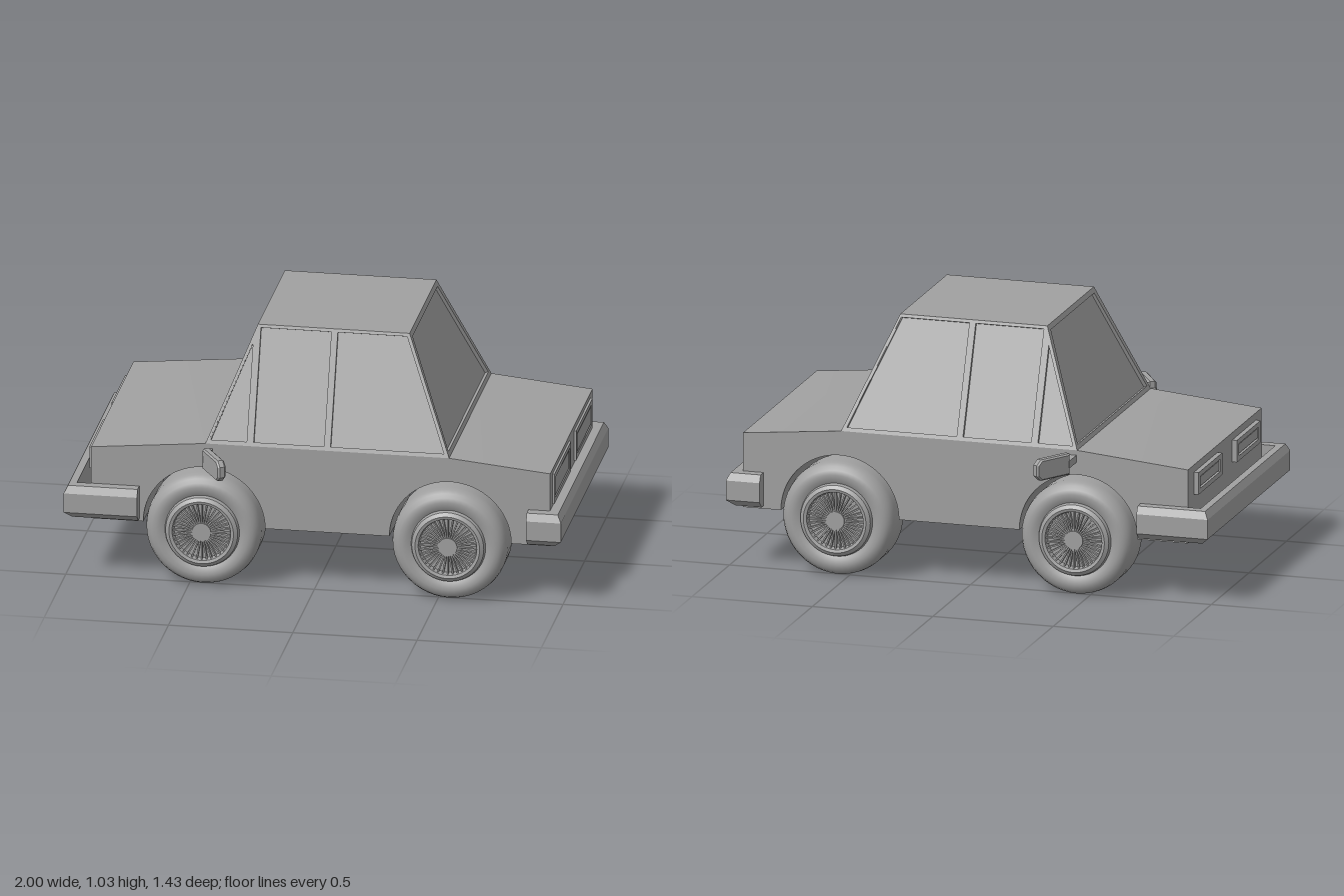
import * as THREE from 'three';
import { toCreasedNormals } from 'three/addons/utils/BufferGeometryUtils.js';

const paint = new THREE.MeshStandardMaterial({ color: 0xa0a0a0, side: THREE.DoubleSide });
paint.name = 'grey';

function add(parent, name, geometry, x = 0, y = 0, z = 0) {
  const mesh = new THREE.Mesh(geometry, paint);
  mesh.name = name;
  mesh.position.set(x, y, z);
  parent.add(mesh);
  return mesh;
}
const toPoints = (list) => list.map(([x, y]) => new THREE.Vector2(x, y));
const extrude = (shape, depth, options = {}) =>
  new THREE.ExtrudeGeometry(shape, { depth, bevelEnabled: false, curveSegments: 32, ...options });

const AXLES = [-0.445, 0.545];
const AXLE_Y = 0.232;
const BELT = 0.585, ROOF = 1.035;

// Lower body: side profile with wheel tunnels through the full width
function addBody(car) {
  const s = new THREE.Shape();
  s.moveTo(-0.9, 0.24);
  for (const x of AXLES) {
    s.lineTo(x - 0.245, 0.24);
    s.absarc(x, 0.24, 0.245, Math.PI, 0, true);
  }
  s.lineTo(0.947, 0.24);
  s.lineTo(0.947, 0.545);
  s.lineTo(0.54, BELT);
  s.lineTo(-0.44, BELT);
  s.lineTo(-0.9, 0.542);
  s.closePath();
  add(car, 'body', toCreasedNormals(extrude(s, 0.98), 0.5), 0, 0, -0.49);
}

// Sloped cabin wall with window openings, drawn as seen straight on
function addWall(car, name, outline, windows, slope, yaw, distance, flip = 1) {
  const k = Math.hypot(1, slope);
  const fit = (list) => toPoints(list.map(([a, y]) => [a * flip, (y - BELT) * k]));
  const shape = new THREE.Shape(fit(outline));
  for (const w of windows) shape.holes.push(new THREE.Path(fit(w)));
  const geometry = extrude(shape, 0.014);
  geometry.translate(0, 0, -0.014);
  const holder = new THREE.Group();
  holder.name = name;
  holder.rotation.y = yaw;
  add(holder, name + 'Frame', geometry, 0, BELT, distance).rotation.x = -Math.atan(slope);
  car.add(holder);
}

function addCabin(car) {
  // Glass core, slightly inside the frames
  const core = new THREE.BoxGeometry(1, 1, 1);
  const p = core.attributes.position;
  for (let i = 0; i < p.count; i++) {
    const top = p.getY(i) > 0, front = p.getX(i) < 0;
    const x = top ? (front ? -0.248 : 0.338) : (front ? -0.428 : 0.528);
    p.setXYZ(i, x, top ? ROOF - 0.003 : BELT - 0.01, Math.sign(p.getZ(i)) * (top ? 0.298 : 0.478));
  }
  add(car, 'windowGlass', core.toNonIndexed()).geometry.computeVertexNormals();
  add(car, 'roof', new THREE.BoxGeometry(0.61, 0.008, 0.62), 0.045, ROOF - 0.004, 0);

  const side = [[-0.44, BELT], [0.54, BELT], [0.35, ROOF], [-0.26, ROOF]];
  const sideWindows = [
    [[-0.425, 0.6], [-0.275, 0.6], [-0.275, 0.965]],
    [[-0.247, 0.6], [0.036, 0.6], [0.036, 1.023], [-0.247, 1.023]],
    [[0.062, 0.6], [0.518, 0.6], [0.345, 1.023], [0.062, 1.023]],
  ];
  addWall(car, 'leftSideWindows', side, sideWindows, 0.4, 0, 0.49);
  addWall(car, 'rightSideWindows', side, sideWindows, 0.4, Math.PI, 0.49, -1);

  const end = [[-0.49, BELT], [0.49, BELT], [0.31, ROOF], [-0.31, ROOF]];
  const endWindow = [[[-0.46, 0.602], [0.46, 0.602], [0.288, 1.015], [-0.288, 1.015]]];
  addWall(car, 'rearWindow', end, endWindow, 0.422, Math.PI / 2, 0.54);
  addWall(car, 'windscreen', end, endWindow, 0.4, -Math.PI / 2, 0.44);
}

// U-shaped bumper with a chamfered outer face; dir is the end it sits at
function addBumper(car, name, dir, inner, armEnd) {
  const u = new THREE.Shape(toPoints([
    [dir * armEnd, -0.55], [dir, -0.55], [dir, 0.55], [dir * armEnd, 0.55],
    [dir * armEnd, 0.495], [dir * inner, 0.495], [dir * inner, -0.495], [dir * armEnd, -0.495],
  ]));
  const g = extrude(u, 3, { steps: 3 });
  g.rotateX(Math.PI / 2);
  const heights = [0.39, 0.36, 0.28, 0.253], inset = [0.015, 0, 0, 0.03];
  const p = g.attributes.position;
  for (let i = 0; i < p.count; i++) {
    const level = Math.round(-p.getY(i));
    const x = p.getX(i), z = p.getZ(i);
    if (Math.abs(x) > 0.99) p.setX(i, x - dir * inset[level]);
    if (Math.abs(z) > 0.54) p.setZ(i, z - Math.sign(z) * inset[level]);
    p.setY(i, heights[level]);
  }
  g.computeVertexNormals();
  add(car, name, g);
}

// Lamp: raised rectangular frame around a flat lens
function addLamp(car, name, x, y, z, width, height, depth) {
  const rect = (w, h) => toPoints([[-w, -h], [w, -h], [w, h], [-w, h]]);
  const frame = new THREE.Shape(rect(width / 2, height / 2));
  frame.holes.push(new THREE.Path(rect(width / 2 - 0.025, height / 2 - 0.02)));
  const lamp = new THREE.Group();
  lamp.name = name;
  lamp.position.set(x, y, z);
  lamp.rotation.y = Math.sign(x) * Math.PI / 2;
  add(lamp, 'lampFrame', extrude(frame, depth));
  add(lamp, 'lampLens', new THREE.BoxGeometry(width - 0.062, height - 0.052, depth * 0.8), 0, 0, depth * 0.4);
  car.add(lamp);
}

// Wheel with its outer face toward +z
function makeWheel() {
  const wheel = new THREE.Group();
  const lathe = (list) => toCreasedNormals(
    new THREE.LatheGeometry(toPoints(list), 48).rotateX(Math.PI / 2), 0.6);
  add(wheel, 'tyre', lathe([
    [0.232, 0.39], [0.232, 0.49], [0.228, 0.512], [0.218, 0.53], [0.203, 0.542], [0.185, 0.546],
    [0.165, 0.543], [0.15, 0.535],
  ]));
  add(wheel, 'rim', lathe([
    [0.15, 0.535], [0.145, 0.55], [0.13, 0.56], [0.118, 0.556], [0.112, 0.535], [0.001, 0.53],
  ]));
  add(wheel, 'hub', new THREE.CylinderGeometry(0.038, 0.042, 0.025, 24).rotateX(Math.PI / 2), 0, 0, 0.541);
  for (let i = 0; i < 36; i++) {
    const a = (i / 36) * Math.PI * 2;
    const spoke = add(wheel, 'spoke', new THREE.BoxGeometry(0.08, 0.006, 0.018),
      Math.cos(a) * 0.077, Math.sin(a) * 0.077, 0.54);
    spoke.rotation.z = a;
  }
  return wheel;
}

// Door mirror on the +z side
function makeMirror() {
  const mirror = new THREE.Group();
  add(mirror, 'mirrorArm', new THREE.BoxGeometry(0.026, 0.03, 0.1), -0.424, 0.55, 0.53);
  const housing = new THREE.Shape(toPoints([
    [0, -0.043], [0.15, -0.043], [0.172, -0.022], [0.172, 0.022], [0.15, 0.043], [0, 0.043],
  ]));
  const g = extrude(housing, 0.02, { bevelEnabled: true, bevelSize: 0.006, bevelOffset: -0.006, bevelThickness: 0.007, bevelSegments: 1 });
  g.translate(0, 0, -0.01);
  add(mirror, 'mirrorHousing', g, -0.424, 0.55, 0.565).rotation.y = -1.02;
  return mirror;
}

export function createModel() {
  const car = new THREE.Group();
  car.name = 'car';
  addBody(car);
  addCabin(car);
  addBumper(car, 'frontBumper', -1, 0.955, 0.705);
  addBumper(car, 'rearBumper', 1, 0.945, 0.86);

  for (const s of [1, -1]) {
    const label = s > 0 ? 'left' : 'right';
    addLamp(car, label + 'Headlamp', -0.9, 0.467, s * 0.255, 0.315, 0.09, 0.02);
    addLamp(car, label + 'TailLamp', 0.946, 0.463, s * 0.25, 0.38, 0.125, 0.01);

    // Turning by half a circle puts the outer face on the other side
    for (const x of AXLES) {
      const wheel = makeWheel();
      wheel.name = label + (x < 0 ? 'FrontWheel' : 'RearWheel');
      wheel.position.set(x, AXLE_Y, 0);
      wheel.rotation.y = s > 0 ? 0 : Math.PI;
      car.add(wheel);
    }
    const mirror = makeMirror();
    mirror.name = label + 'Mirror';
    mirror.scale.z = s;
    car.add(mirror);
  }
  return car;
}
